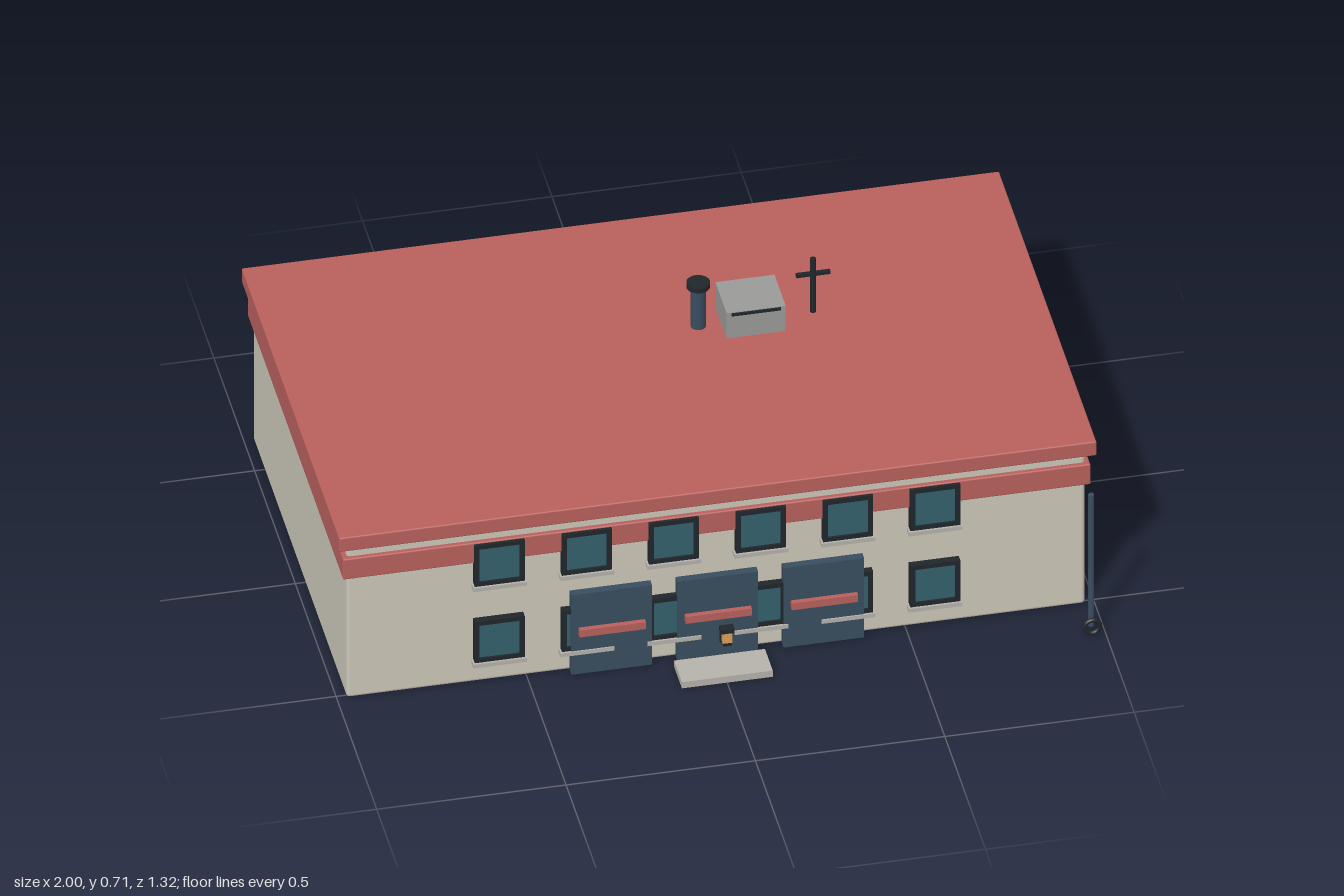
import * as THREE from 'three';
import { RoundedBoxGeometry } from 'three/addons/geometries/RoundedBoxGeometry.js';

const mat = (color) => new THREE.MeshStandardMaterial({ color });

export function createModel() {
  const model = new THREE.Group();
  const wallMat = mat(0xcbc6b8), red = mat(0xb8605d), dark = mat(0x20262b), blue = mat(0x384d5f);
  const glass = mat(0x35606b), stone = mat(0xb5b2ab), metal = mat(0x999a98), amber = mat(0xd9a05a);

  const add = (name, geometry, material, x, y, z, parent = model) => {
    const mesh = new THREE.Mesh(geometry, material);
    mesh.name = name;
    mesh.position.set(x, y, z);
    parent.add(mesh);
    return mesh;
  };
  const box = (name, material, w, h, d, x, y, z, parent) =>
    add(name, new THREE.BoxGeometry(w, h, d), material, x, y, z, parent);
  const rounded = (name, material, w, h, d, r, x, y, z) =>
    add(name, new RoundedBoxGeometry(w, h, d, 2, r), material, x, y, z);

  // Walls, trim band and overhanging roof slab
  const cz = -0.06;
  rounded('walls', wallMat, 1.95, 0.485, 1.15, 0.01, 0, 0.2475, cz);
  rounded('trimBand', red, 1.974, 0.065, 1.174, 0.004, 0, 0.4275, cz);
  rounded('roof', red, 2, 0.045, 1.2, 0.004, 0, 0.5175, cz);

  // Window: hollow frame, recessed pane and projecting sill, facing +z
  const outline = new THREE.Shape();
  const hole = new THREE.Path();
  const rect = (path, s) =>
    path.moveTo(-s, -s).lineTo(s, -s).lineTo(s, s).lineTo(-s, s).closePath();
  rect(outline, 0.066);
  rect(hole, 0.053);
  outline.holes.push(hole);
  const frameGeo = new THREE.ExtrudeGeometry(outline, { depth: 0.028, bevelEnabled: false });
  const makeWindow = (x, y, side) => {
    const w = new THREE.Group();
    w.name = side > 0 ? 'frontWindow' : 'backWindow';
    add('windowFrame', frameGeo, dark, 0, 0, -0.008, w);
    box('windowPane', glass, 0.108, 0.108, 0.02, 0, 0, 0.004, w);
    box('windowSill', stone, 0.142, 0.012, 0.03, 0, -0.071, 0.011, w);
    w.position.set(x, y, cz + side * 0.575);
    if (side < 0) w.rotation.y = Math.PI;
    model.add(w);
  };
  for (const side of [1, -1])
    for (const y of [0.145, 0.39])
      for (let i = 0; i < 6; i++) makeWindow(-0.575 + i * 0.23, y, side);

  // Three entrance doors with push bars
  for (const x of [-0.28, 0, 0.28]) {
    box('door', blue, 0.213, 0.255, 0.022, x, 0.1325, 0.5265);
    box('doorBar', red, 0.175, 0.022, 0.015, x, 0.143, 0.544);
  }

  // Entrance step and lantern
  box('step', stone, 0.24, 0.02, 0.096, 0, 0.015, 0.607);
  box('lanternGlass', amber, 0.026, 0.03, 0.02, 0, 0.15, 0.65);
  box('lanternCap', dark, 0.036, 0.014, 0.022, 0, 0.173, 0.65);
  box('lanternBase', dark, 0.022, 0.009, 0.02, 0, 0.13, 0.65);
  box('lanternBack', dark, 0.034, 0.046, 0.006, 0, 0.152, 0.642);

  // Downpipe with ring at its foot
  add('downpipe', new THREE.CylinderGeometry(0.008, 0.008, 0.42, 16), blue, 0.965, 0.235, 0.635);
  add('pipeRing', new THREE.TorusGeometry(0.02, 0.006, 8, 24), dark, 0.965, 0.03, 0.648);

  // Rooftop vent, air unit and antenna
  add('ventPipe', new THREE.CylinderGeometry(0.02, 0.02, 0.13, 20), blue, 0.1, 0.603, -0.168);
  add('ventCap', new THREE.CylinderGeometry(0.031, 0.031, 0.014, 20), dark, 0.1, 0.673, -0.168);
  box('airUnit', metal, 0.156, 0.081, 0.138, 0.238, 0.5805, -0.167);
  box('airUnitGrille', dark, 0.13, 0.008, 0.006, 0.238, 0.615, -0.097);
  add('antennaMast', new THREE.CylinderGeometry(0.008, 0.008, 0.172, 12), dark, 0.403, 0.624, -0.167);
  box('antennaBar', dark, 0.09, 0.01, 0.01, 0.403, 0.661, -0.167);

  return model;
}
